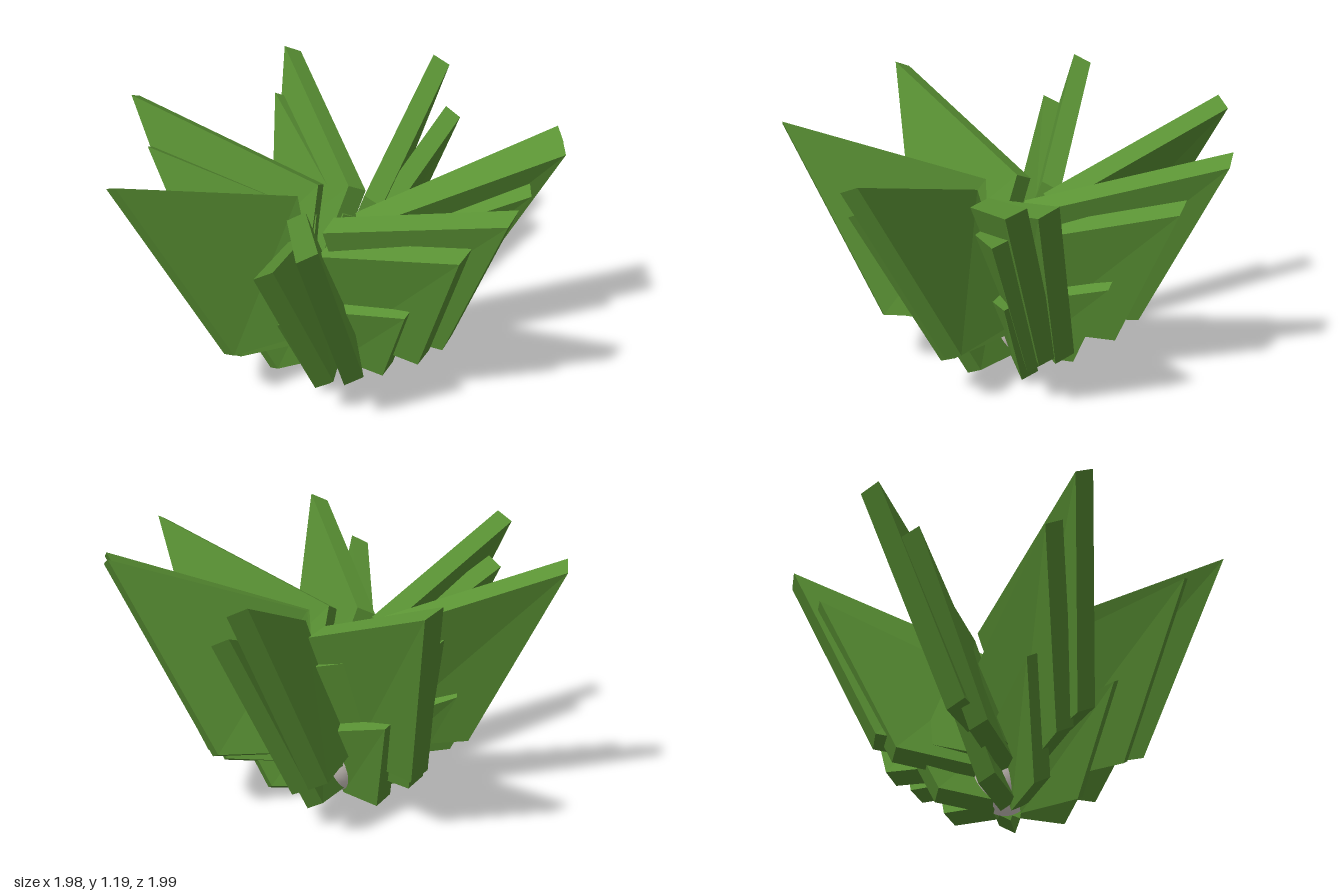
import * as THREE from 'three';

const leafGreen = new THREE.MeshStandardMaterial({ color: 0x5a9234, flatShading: true });
leafGreen.name = 'leafGreen';
const bulbWhite = new THREE.MeshStandardMaterial({ color: 0xded6cf });
bulbWhite.name = 'bulbWhite';

// Slab leaf: a box whose corners follow a radial profile and lean sideways.
// x runs outward, y up, z across the thickness.
function leafGeometry(scale, drop, thickness) {
  const geo = new THREE.BoxGeometry(1, 1, 1);
  const p = geo.attributes.position;
  for (let i = 0; i < p.count; i++) {
    const outer = p.getX(i) > 0, top = p.getY(i) > 0, side = p.getZ(i) * 2;
    const radius = top ? (outer ? 1.01 : 0.1) : (outer ? 0.61 : 0.12);
    const height = top ? (outer ? 1.165 : 0.83) : (outer ? 0.28 : 0.22);
    const lean = top ? 0.165 : -0.055;
    p.setXYZ(i,
      radius * scale,
      height * scale - drop - side * 0.02,
      lean * scale + side * thickness / 2);
  }
  geo.computeVertexNormals();
  return geo;
}

// Three nested rings; angles in degrees from +x towards +z
const rings = [
  { name: 'outerLeaf', scale: 1, drop: 0, thickness: 0.085,
    angles: [93, 35, -15.5, -55.4, -62.4, -117.8, -161, 146] },
  { name: 'middleLeaf', scale: 0.87, drop: 0.035, thickness: 0.08,
    angles: [98.6, 47.6, -8, -52, -108, -166, 138.6] },
  { name: 'innerLeaf', scale: 0.54, drop: 0.1, thickness: 0.075,
    angles: [99, 51, -9, -55, -108, -165, 141] },
];

export function createModel() {
  const model = new THREE.Group();
  model.name = 'leafyPlant';

  const plant = new THREE.Group();
  plant.name = 'plant';
  plant.position.set(-0.04, 0, -0.01);
  model.add(plant);

  // Leaves
  for (const { name, scale, drop, thickness, angles } of rings) {
    const geo = leafGeometry(scale, drop, thickness);
    angles.forEach((deg, i) => {
      const leaf = new THREE.Mesh(geo, leafGreen);
      leaf.name = `${name}${i + 1}`;
      leaf.rotation.y = -THREE.MathUtils.degToRad(deg);
      plant.add(leaf);
    });
  }

  // Pale bulb in the heart of the leaves
  const bulb = new THREE.Mesh(new THREE.SphereGeometry(0.155, 32, 20), bulbWhite);
  bulb.name = 'bulb';
  bulb.scale.y = 1.35;
  bulb.position.set(-0.015, 0.21, 0);
  plant.add(bulb);

  return model;
}
